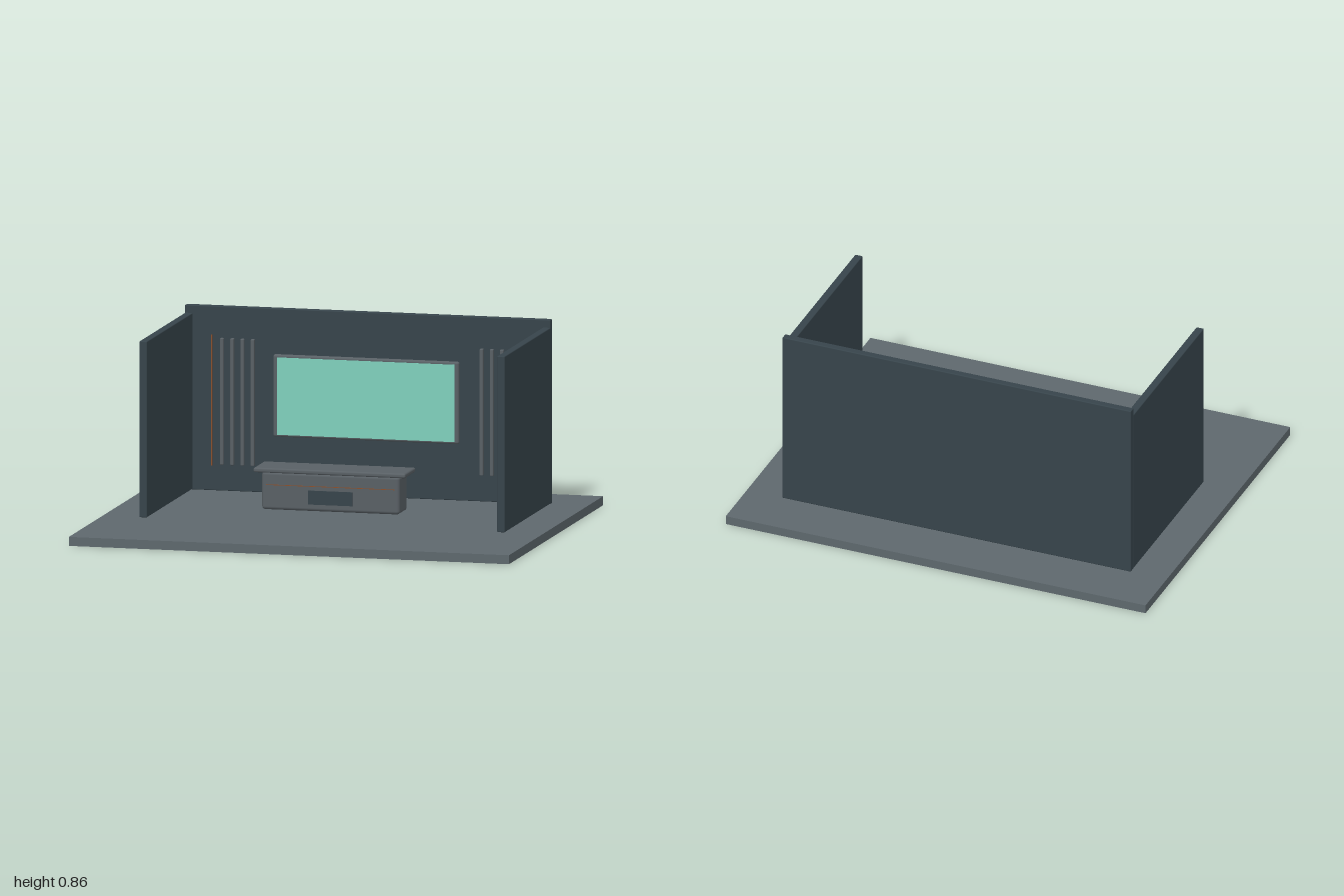
import * as THREE from 'three';
import { RoundedBoxGeometry } from 'three/addons/geometries/RoundedBoxGeometry.js';

function material(name, color) {
  const m = new THREE.MeshStandardMaterial({ color });
  m.name = name;
  return m;
}

export function createModel() {
  const group = new THREE.Group();
  const floorGrey = material('floor grey', 0x5e686d);
  const wallSlate = material('wall slate', 0x37444b);
  const trimGrey = material('trim grey', 0x596065);
  const screenMint = material('screen mint', 0x7fd0bc);
  const copper = material('copper', 0x8a4f2c);

  // Box given by its [min, max] range on each axis; a radius rounds its edges
  function box(name, mat, [x0, x1], [y0, y1], [z0, z1], radius = 0) {
    const size = [x1 - x0, y1 - y0, z1 - z0];
    const geometry = radius
      ? new RoundedBoxGeometry(...size, 3, radius)
      : new THREE.BoxGeometry(...size);
    const mesh = new THREE.Mesh(geometry, mat);
    mesh.name = name;
    mesh.position.set((x0 + x1) / 2, (y0 + y1) / 2, (z0 + z1) / 2);
    group.add(mesh);
    return mesh;
  }

  // Floor and walls
  box('floor', floorGrey, [-1, 1], [0, 0.04], [-0.83, 0.83]);
  box('backWall', wallSlate, [-0.83, 0.83], [0.04, 0.862], [-0.59, -0.557], 0.004);
  for (const [side, s] of [['left', 1], ['right', -1]]) {
    const x = s * 0.813;
    box(side + 'Wall', wallSlate, [x - 0.0175, x + 0.0175], [0.042, 0.827], [-0.56, 0.248], 0.004);

    // Vertical slats and copper strip on the back wall
    for (let i = 0; i < 4; i++) {
      const sx = s * (0.52 + i * 0.0465);
      box(side + 'Slat' + (i + 1), trimGrey, [sx - 0.008, sx + 0.008], [0.157, 0.722], [-0.56, -0.54], 0.004);
    }
    const cx = s * 0.708;
    box(side + 'CopperStrip', copper, [cx - 0.003, cx + 0.003], [0.15, 0.735], [-0.559, -0.552]);
  }

  // Wall screen
  box('screenFrame', trimGrey, [-0.422, 0.422], [0.295, 0.662], [-0.55, -0.525], 0.01);
  box('screen', screenMint, [-0.403, 0.403], [0.305, 0.65], [-0.529, -0.523]);

  // Counter with overhanging top, front panel and copper line
  box('counterBody', trimGrey, [-0.313, 0.313], [0.075, 0.245], [-0.045, 0.1], 0.015);
  box('counterTop', trimGrey, [-0.345, 0.345], [0.242, 0.263], [-0.065, 0.12], 0.008);
  box('counterPanel', wallSlate, [-0.1, 0.1], [0.106, 0.168], [0.097, 0.104]);
  box('counterCopperLine', copper, [-0.292, 0.292], [0.185, 0.188], [0.097, 0.101]);

  return group;
}
